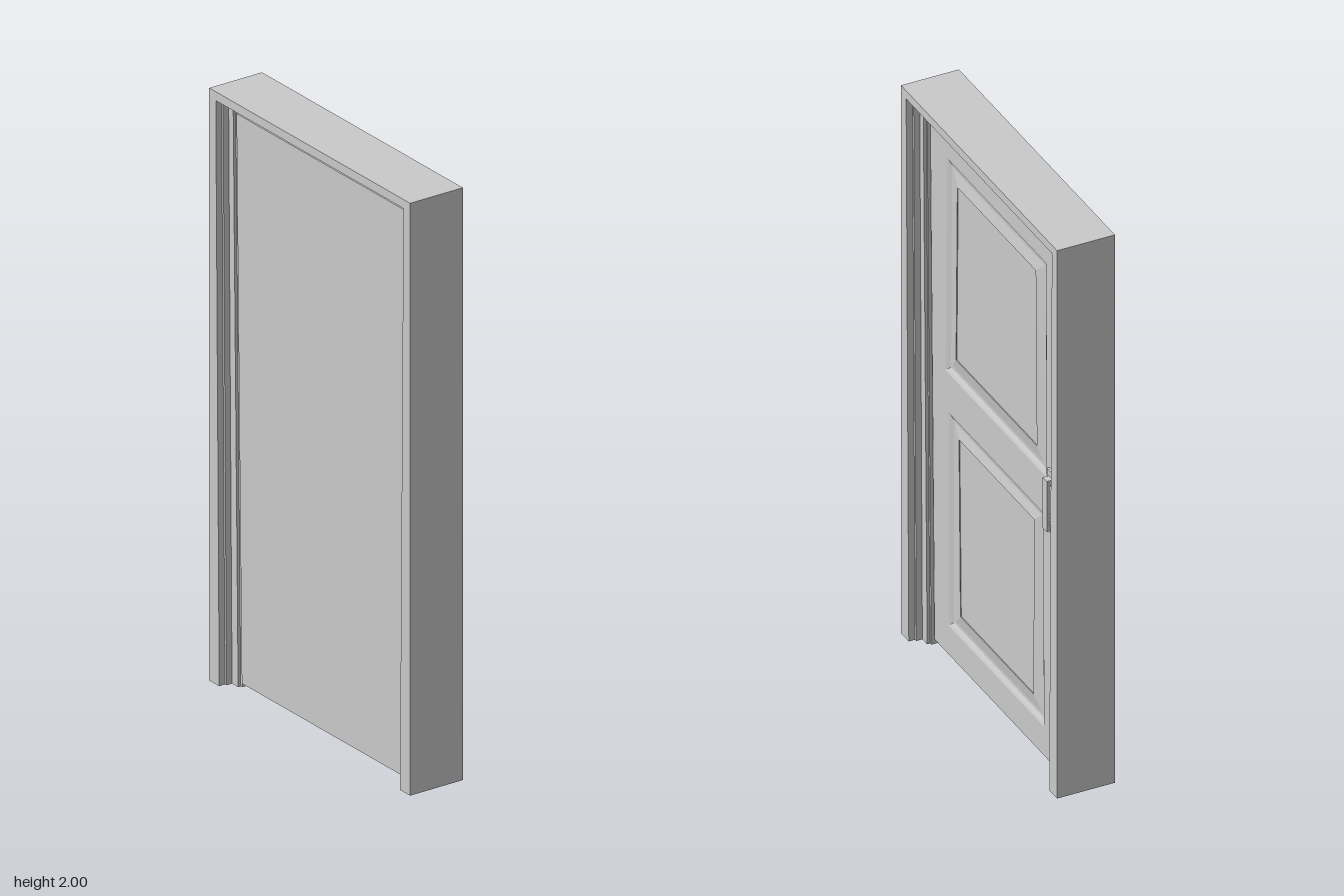
import * as THREE from 'three';

const grey = new THREE.MeshStandardMaterial({ color: 0xcacaca, side: THREE.DoubleSide });
grey.name = 'plain grey';

// Outlines are drawn as (u, y); u runs along -z, and depth runs along x.
const at = (outline, x) => outline.map(([u, y]) => [x, y, -u]);
const toShape = (pts) => new THREE.Shape(pts.map(([u, y]) => new THREE.Vector2(u, y)));

function addMesh(parent, name, geometry) {
  const mesh = new THREE.Mesh(geometry, grey);
  mesh.name = name;
  parent.add(mesh);
  return mesh;
}

// Flat face of a shape at depth x
function face(shape, x) {
  const g = new THREE.ShapeGeometry(shape);
  g.rotateY(Math.PI / 2);
  g.translate(x, 0, 0);
  return g;
}

// Joins successive rows of points with flat quads
function loft(rows) {
  const pos = [];
  for (let r = 0; r < rows.length - 1; r++) {
    const a = rows[r], b = rows[r + 1];
    for (let i = 0; i < a.length - 1; i++) {
      for (const p of [a[i], a[i + 1], b[i + 1], a[i], b[i + 1], b[i]]) pos.push(...p);
    }
  }
  const g = new THREE.BufferGeometry();
  g.setAttribute('position', new THREE.Float32BufferAttribute(pos, 3));
  g.computeVertexNormals();
  return g;
}

const closed = (q) => [...q, q[0]];

// Moves a four-cornered outline inwards
const inset = (q, d) => q.map(([u, y], i) => [
  u + (i === 0 || i === 3 ? d : -d), y + (i < 2 ? d : -d)]);

// Upside-down U around a slightly tapered opening
const arch = (foot, head, top) => [[-foot, 0], [-head, top], [head, top], [foot, 0]];

export function createModel() {
  const model = new THREE.Group();
  model.name = 'panelledDoor';

  // Frame: stepped hollow profile, open at the feet, the same on both sides
  const outside = arch(0.53, 0.53, 2);
  const casing = arch(0.477, 0.495, 1.97);
  const bead = arch(0.469, 0.487, 1.962);
  const stop = arch(0.437, 0.463, 1.94);
  const opening = arch(0.429, 0.457, 1.933);
  const half = [
    [outside, 0.1], [casing, 0.1], [casing, 0.078], [bead, 0.078],
    [bead, 0.057], [stop, 0.057], [stop, 0.047], [opening, 0.047],
  ];
  const profile = [
    ...half.map(([o, x]) => at(o, -x)),
    ...half.map(([o, x]) => at(o, x)).reverse(),
  ];
  addMesh(model, 'doorFrame', loft([at(outside, 0.1), ...profile]));

  // Door leaf: hollow shell, open underneath, cut out for two panels
  const leaf = new THREE.Group();
  leaf.name = 'doorLeaf';
  model.add(leaf);
  const outline = [[-0.424, 0.02], [0.416, 0.02], [0.444, 1.934], [-0.453, 1.934]];
  const panels = [
    {
      name: 'upperPanel',
      edge: [[-0.349, 1.045], [0.333, 1.045], [0.338, 1.828], [-0.343, 1.828]],
      field: [[-0.282, 1.12], [0.267, 1.12], [0.259, 1.755], [-0.273, 1.755]],
    },
    {
      name: 'lowerPanel',
      edge: [[-0.328, 0.125], [0.32, 0.125], [0.316, 0.905], [-0.331, 0.905]],
      field: [[-0.252, 0.2], [0.244, 0.2], [0.248, 0.84], [-0.262, 0.84]],
    },
  ];
  const xFront = 0.038, xBack = -0.058;
  const front = toShape(outline);
  for (const p of panels) front.holes.push(toShape(p.edge));
  addMesh(leaf, 'leafFront', face(front, xFront));
  addMesh(leaf, 'leafBack', face(toShape(outline), xBack));
  const edges = closed(outline).slice(1);
  addMesh(leaf, 'leafEdges', loft([at(edges, xBack), at(edges, xFront)]));

  // Panels: moulded rim, shallow slope, then a slightly sunken field
  for (const { name, edge, field } of panels) {
    addMesh(leaf, name + 'Moulding', loft([
      [edge, xFront],
      [inset(edge, 0.008), xFront - 0.003],
      [inset(edge, 0.02), xFront - 0.009],
      [inset(edge, 0.03), xFront - 0.009],
      [field, xFront - 0.002],
      [field, xFront - 0.005],
    ].map(([q, x]) => at(closed(q), x))));
    addMesh(leaf, name + 'Field', face(toShape(field), xFront - 0.005));
  }

  // Pull handle: two mounts joined by an upright grip
  const handle = new THREE.Group();
  handle.name = 'pullHandle';
  handle.position.set(xFront, 0.98, -0.383);
  leaf.add(handle);
  for (const side of [-1, 1]) {
    addMesh(handle, 'handleMount', new THREE.BoxGeometry(0.01, 0.055, 0.054))
      .position.set(0.004, side * 0.085, 0);
    addMesh(handle, 'handleArm', new THREE.BoxGeometry(0.022, 0.02, 0.028))
      .position.set(0.013, side * 0.082, 0);
  }
  addMesh(handle, 'handleGrip', new THREE.BoxGeometry(0.01, 0.184, 0.028))
    .position.set(0.025, 0, 0);

  return model;
}
